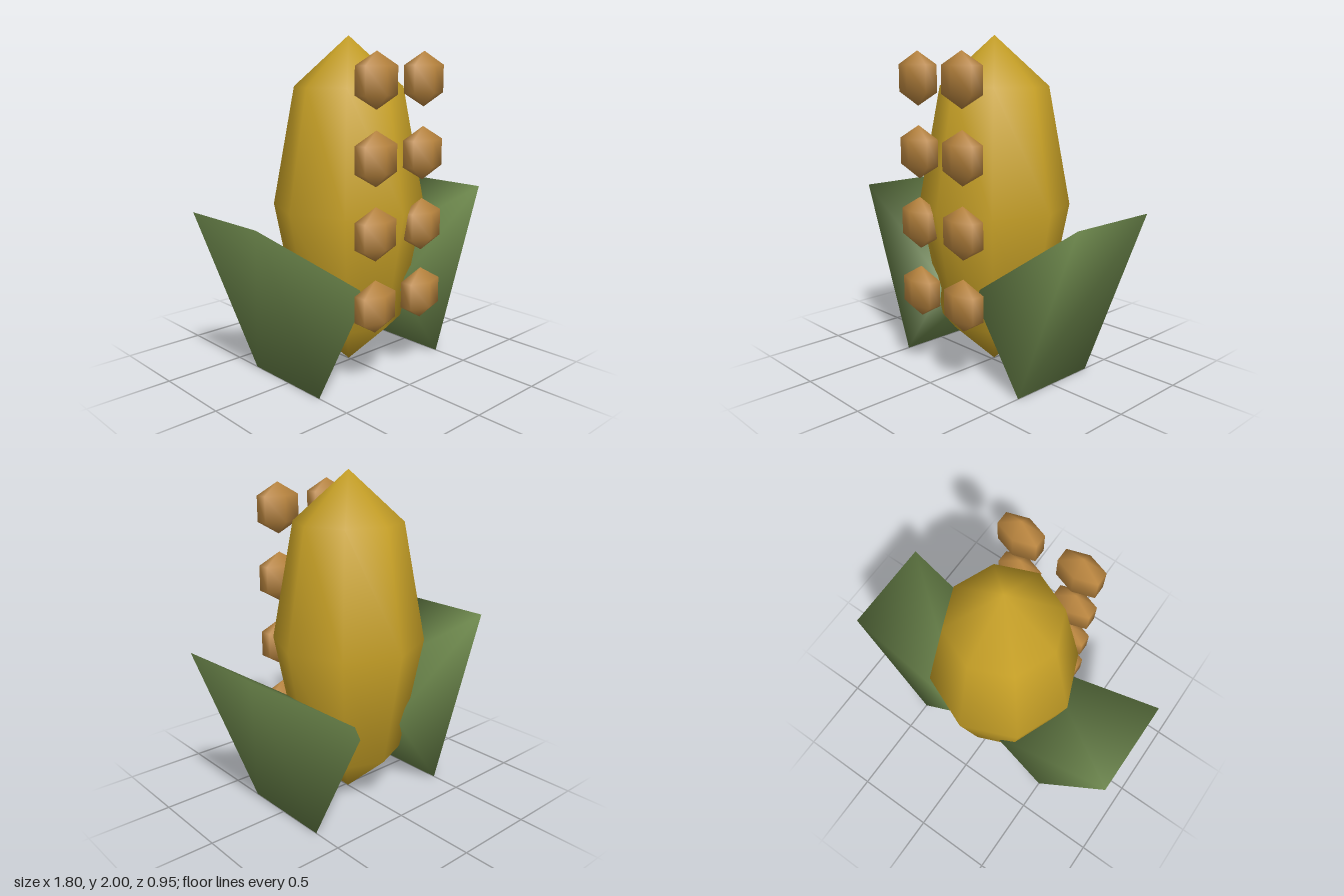
import * as THREE from 'three';
import { mergeVertices } from 'three/addons/utils/BufferGeometryUtils.js';

const material = (name, color) => {
  const m = new THREE.MeshStandardMaterial({ color });
  m.name = name;
  return m;
};

// Triangular prism with normals averaged across all its edges
function leafGeometry(points, depth) {
  const shape = new THREE.Shape(points.map(([x, y]) => new THREE.Vector2(x, y)));
  const prism = new THREE.ExtrudeGeometry(shape, { depth, bevelEnabled: false });
  prism.deleteAttribute('normal');
  prism.deleteAttribute('uv');
  const smooth = mergeVertices(prism);
  smooth.computeVertexNormals();
  return smooth;
}

export function createModel() {
  const gold = material('cob gold', 0xc9a227);
  const brown = material('kernel brown', 0xbc8740);
  const green = material('husk green', 0x6a844a);
  const model = new THREE.Group();
  model.name = 'cornCob';

  const add = (name, geometry, mat) => {
    const mesh = new THREE.Mesh(geometry, mat);
    mesh.name = name;
    model.add(mesh);
    return mesh;
  };

  // Cob: coarse eight-sided spindle
  add('cob', new THREE.SphereGeometry(1, 8, 4).scale(0.455, 0.997, 0.455), gold)
    .position.set(0, 1.003, -0.02);

  // Kernels: two columns of four flattened six-sided beads on the front
  const kernel = new THREE.SphereGeometry(1, 6, 3)
    .rotateY(Math.PI / 2)
    .scale(0.163, 0.154, 0.091);
  for (let row = 0; row < 4; row++) {
    for (const side of [-1, 1]) {
      add(`kernel${side > 0 ? 'Left' : 'Right'}${row + 1}`, kernel, brown)
        .position.set(side * 0.188, 0.503 + row * 0.418, 0.4);
    }
  }

  // Husk leaves: one thick wedge on each side
  for (const side of [-1, 1]) {
    const outline = [[0.9, 1.04], [0.13, 0.53], [0.5, 0.005]].map(([x, y]) => [side * x, y]);
    add(side > 0 ? 'huskLeafLeft' : 'huskLeafRight', leafGeometry(outline, 0.585), green)
      .position.z = -0.31;
  }

  return model;
}
